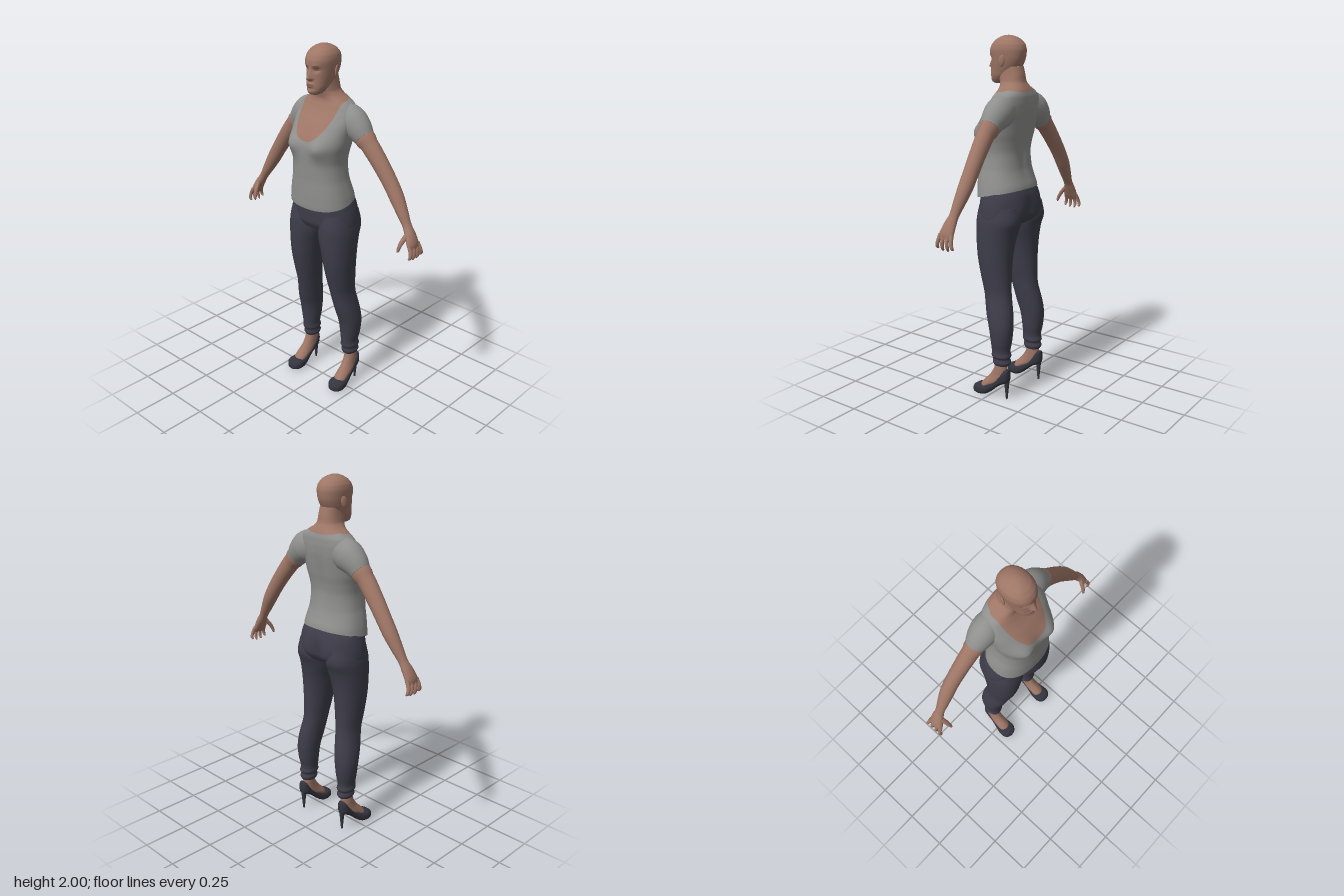
import * as THREE from 'three';

const mat = (name, color, side = THREE.FrontSide) => {
  const m = new THREE.MeshStandardMaterial({ color, side });
  m.name = name;
  return m;
};
const gauss = (a, s) => Math.exp(-(a * a) / (s * s));
const clamp01 = (t) => Math.min(1, Math.max(0, t));

// Smooth skin through superellipse sections [x, y, z, halfU, halfV].
// axis 'y': sections lie flat, 'z': sections stand upright, 'path': sections follow the path in xy.
function loft(sections, { axis = 'y', n = 2, segs = 40, steps = 5, shape = null } = {}) {
  const centres = new THREE.CatmullRomCurve3(sections.map((s) => new THREE.Vector3(s[0], s[1], s[2])));
  const radii = new THREE.CatmullRomCurve3(sections.map((s) => new THREE.Vector3(s[3], s[4], 0)));
  const rows = (sections.length - 1) * steps;
  const pos = [], index = [], p = new THREE.Vector3();
  const power = (c) => Math.sign(c) * Math.abs(c) ** (2 / n);
  for (let i = 0; i <= rows; i++) {
    const c = centres.getPoint(i / rows), r = radii.getPoint(i / rows);
    const u = new THREE.Vector3(1, 0, 0), v = new THREE.Vector3(0, axis === 'z' ? 1 : 0, axis === 'z' ? 0 : 1);
    if (axis === 'path') {
      const t = centres.getTangent(i / rows);
      u.set(-t.y, t.x, 0).normalize();
    }
    for (let j = 0; j < segs; j++) {
      const a = (j / segs) * Math.PI * 2;
      p.copy(c).addScaledVector(u, r.x * power(Math.cos(a))).addScaledVector(v, r.y * power(Math.sin(a)));
      if (shape) shape(p);
      pos.push(p.x, p.y, p.z);
      if (i < rows) {
        const k = i * segs + j, m = i * segs + ((j + 1) % segs);
        index.push(k, m, k + segs, m, m + segs, k + segs);
      }
    }
  }
  // end caps with their own vertices
  for (const row of [0, rows]) {
    const c = centres.getPoint(row / rows), start = pos.length / 3;
    for (let j = 0; j < segs; j++) pos.push(...pos.slice((row * segs + j) * 3, (row * segs + j) * 3 + 3));
    pos.push(c.x, c.y, c.z);
    for (let j = 0; j < segs; j++) {
      const a = start + j, b = start + ((j + 1) % segs);
      index.push(...(row ? [a, b, start + segs] : [b, a, start + segs]));
    }
  }
  // turn the faces outward
  let volume = 0;
  const A = new THREE.Vector3(), B = new THREE.Vector3(), C = new THREE.Vector3();
  for (let i = 0; i < index.length; i += 3) {
    A.fromArray(pos, index[i] * 3); B.fromArray(pos, index[i + 1] * 3); C.fromArray(pos, index[i + 2] * 3);
    volume += A.dot(B.cross(C));
  }
  if (volume < 0) index.reverse();
  const g = new THREE.BufferGeometry();
  g.setAttribute('position', new THREE.Float32BufferAttribute(pos, 3));
  g.setIndex(index);
  g.computeVertexNormals();
  return g;
}

// Flat sections given as [y, xMin, xMax, zFront, zBack], or [y, halfWidth, zFront, zBack]
const flat = (list) => list.map((s) => {
  const [y, x0, x1, f, b] = s.length === 5 ? s : [s[0], -s[1], s[1], s[2], s[3]];
  return [(x0 + x1) / 2, y, (f + b) / 2, (x1 - x0) / 2, (f - b) / 2];
});

// Keep the part of a surface where f(point) > 0
function clip(geo, f) {
  const P = geo.attributes.position, N = geo.attributes.normal, idx = geo.index.array, pos = [], nor = [];
  for (let i = 0; i < idx.length; i += 3) {
    const tri = [0, 1, 2].map((k) => {
      const p = new THREE.Vector3().fromBufferAttribute(P, idx[i + k]);
      return { p, n: new THREE.Vector3().fromBufferAttribute(N, idx[i + k]), d: f(p) };
    });
    const poly = [];
    tri.forEach((a, k) => {
      const b = tri[(k + 1) % 3];
      if (a.d > 0) poly.push(a);
      if (a.d > 0 !== b.d > 0) {
        const t = a.d / (a.d - b.d);
        poly.push({ p: a.p.clone().lerp(b.p, t), n: a.n.clone().lerp(b.n, t).normalize() });
      }
    });
    for (let k = 1; k + 1 < poly.length; k++) {
      for (const q of [poly[0], poly[k], poly[k + 1]]) { pos.push(...q.p.toArray()); nor.push(...q.n.toArray()); }
    }
  }
  const g = new THREE.BufferGeometry();
  g.setAttribute('position', new THREE.Float32BufferAttribute(pos, 3));
  g.setAttribute('normal', new THREE.Float32BufferAttribute(nor, 3));
  return g;
}

function mirrored(geo) {
  const g = geo.clone().scale(-1, 1, 1);
  g.setIndex(Array.from(g.index.array).reverse());
  g.computeVertexNormals();
  return g;
}

export function createModel() {
  const model = new THREE.Group();
  model.name = 'woman';
  const skin = mat('skin', 0x9e7666), features = mat('darker skin', 0x84604f);
  const cloth = mat('grey shirt', 0x8f8f8e, THREE.DoubleSide);
  const denim = mat('dark denim', 0x3e3d4a), leather = mat('shoe leather', 0x34343f);
  const add = (name, geo, material) => {
    const m = new THREE.Mesh(geo, material);
    m.name = name;
    model.add(m);
  };
  const pair = (name, geo, material) => {
    add('left' + name, geo, material);
    add('right' + name, mirrored(geo), material);
  };

  // Torso and neck, split into shirt and skin along the scoop neckline
  const torso = loft(flat([
    [1.10, 0.186, 0.13, -0.14], [1.14, 0.19, 0.138, -0.142], [1.20, 0.183, 0.14, -0.138],
    [1.25, 0.172, 0.14, -0.122], [1.30, 0.16, 0.14, -0.11], [1.38, 0.152, 0.143, -0.105],
    [1.44, 0.16, 0.145, -0.112], [1.49, 0.172, 0.141, -0.122], [1.54, 0.178, 0.122, -0.13],
    [1.60, 0.185, 0.088, -0.138], [1.65, 0.18, 0.052, -0.14], [1.69, 0.157, 0.03, -0.137],
    [1.715, 0.12, 0.022, -0.13], [1.735, 0.085, 0.025, -0.12], [1.76, 0.064, 0.034, -0.107],
    [1.80, 0.058, 0.042, -0.1], [1.84, 0.055, 0.045, -0.09],
  ]), {
    n: 2.35, segs: 96, steps: 5,
    shape: (p) => {
      if (p.z > 0) p.z += 0.03 * gauss(Math.abs(p.x) - 0.095, 0.055) * gauss(p.y - 1.485, 0.06) * clamp01(p.z / 0.06);
      else p.z += 0.01 * gauss(p.x, 0.03) * gauss(p.y - 1.45, 0.16) * clamp01(-p.z / 0.06);
    },
  });
  const neckline = (p) => {
    const t = clamp01((p.z + 0.08) / 0.06), depth = 0.02 + 0.2 * t * t * (3 - 2 * t);
    return (Math.abs(p.x) / 0.125) ** 2.2 + (Math.max(0, 1.73 - p.y) / depth) ** 2.2 - 1;
  };
  const hem = (p) => p.y - 1.16 + 0.21 * p.z;
  add('shirtBody', clip(torso, (p) => Math.min(neckline(p), hem(p))), cloth);
  add('chestAndNeck', clip(torso, (p) => -neckline(p)), skin);

  // Sleeves
  pair('Sleeve', loft([
    [0.10, 1.62, -0.06, 0.088, 0.068], [0.155, 1.605, -0.06, 0.087, 0.075],
    [0.20, 1.575, -0.06, 0.075, 0.068], [0.238, 1.538, -0.06, 0.058, 0.054],
  ], { axis: 'path' }), cloth);

  // Arms and palms
  pair('Arm', loft([
    [0.20, 1.57, -0.06, 0.05, 0.046], [0.27, 1.508, -0.06, 0.05, 0.046], [0.34, 1.425, -0.065, 0.046, 0.043],
    [0.41, 1.33, -0.07, 0.042, 0.04], [0.455, 1.262, -0.07, 0.039, 0.039], [0.50, 1.19, -0.065, 0.031, 0.032],
    [0.537, 1.13, -0.06, 0.023, 0.026], [0.562, 1.09, -0.055, 0.024, 0.035], [0.585, 1.045, -0.05, 0.021, 0.043],
    [0.594, 1.018, -0.05, 0.013, 0.04],
  ], { axis: 'path', segs: 32 }), skin);

  // Fingers and thumbs
  const fingers = [[-0.086, -0.1, 0.975], [-0.063, -0.07, 0.966], [-0.038, -0.038, 0.966], [-0.015, -0.006, 0.974]];
  fingers.forEach(([z0, z1, tip], i) => pair('Finger' + (i + 1), loft([
    [0.588, 1.045, z0, 0.011, 0.011], [0.604, 1.01, (z0 + z1) / 2, 0.0105, 0.01],
    [0.606, 0.985, z1, 0.009, 0.009], [0.598, tip, z1, 0.006, 0.006], [0.596, tip - 0.004, z1, 0.002, 0.002],
  ], { axis: 'path', segs: 12, steps: 3 }), skin));
  pair('Thumb', loft([
    [0.56, 1.095, -0.035, 0.014, 0.015], [0.55, 1.06, -0.008, 0.013, 0.013],
    [0.543, 1.03, 0.008, 0.01, 0.01], [0.539, 1.008, 0.013, 0.007, 0.007], [0.538, 1.002, 0.014, 0.002, 0.002],
  ], { axis: 'path', segs: 12, steps: 3 }), skin);

  // Head with modelled nose, eye sockets, brow and lips
  const head = loft(flat([
    [1.748, 0.022, 0.08, 0.035], [1.755, 0.034, 0.091, 0.015], [1.77, 0.045, 0.097, -0.01],
    [1.79, 0.055, 0.096, -0.035], [1.82, 0.063, 0.095, -0.07], [1.85, 0.07, 0.093, -0.09],
    [1.88, 0.075, 0.094, -0.102], [1.92, 0.079, 0.098, -0.107], [1.95, 0.075, 0.087, -0.1],
    [1.975, 0.06, 0.064, -0.079], [1.99, 0.039, 0.038, -0.053], [1.998, 0.018, 0.015, -0.028],
    [2.0, 0.004, -0.003, -0.011],
  ]), {
    n: 2.2, segs: 112, steps: 7,
    shape: (p) => {
      if (p.z < 0.03) return;
      const ax = Math.abs(p.x), y = p.y;
      const slope = clamp01((1.895 - y) / 0.058) * clamp01((y - 1.82) / 0.014);
      p.z += 0.029 * slope * gauss(p.x, 0.009 + 0.007 * slope);
      p.z -= 0.011 * gauss(ax - 0.032, 0.016) * gauss(y - 1.879, 0.011);
      p.z += 0.004 * gauss(ax - 0.03, 0.025) * gauss(y - 1.9, 0.01);
      p.z += 0.008 * gauss(p.x, 0.022) * (gauss(y - 1.805, 0.006) + gauss(y - 1.793, 0.006));
      p.z += 0.005 * gauss(p.x, 0.02) * gauss(y - 1.765, 0.012);
    },
  });
  const oval = (x, y, a, b) => 1 - (x / a) ** 2 - (y / b) ** 2;
  const marks = (p) => (p.z < 0.03 ? -1 : Math.max(
    oval(p.x, p.y - 1.799, 0.024, 0.009),
    oval(Math.abs(p.x) - 0.032, p.y - 1.879, 0.014, 0.0045),
    oval(Math.abs(p.x) - 0.034, p.y - 1.9 + 0.1 * Math.abs(Math.abs(p.x) - 0.034), 0.02, 0.004)));
  add('head', clip(head, (p) => -marks(p)), skin);
  add('faceDetails', clip(head, marks), features);

  // Ears
  pair('Ear', new THREE.SphereGeometry(1, 20, 14).scale(0.007, 0.031, 0.017)
    .rotateY(0.35).rotateX(-0.15).translate(0.08, 1.868, -0.018), skin);

  // Trousers: seat and two legs
  add('trouserSeat', loft(flat([
    [1.20, 0.176, 0.118, -0.128], [1.15, 0.192, 0.114, -0.146], [1.09, 0.204, 0.111, -0.15],
    [1.04, 0.208, 0.108, -0.146], [1.005, 0.19, 0.09, -0.125], [0.98, 0.11, 0.05, -0.08],
  ]), {
    n: 2.3, segs: 72,
    shape: (p) => {
      if (p.z < 0) p.z -= clamp01(-p.z / 0.08) * gauss(p.y - 1.06, 0.07)
        * (0.014 * gauss(Math.abs(p.x) - 0.09, 0.06) - 0.012 * gauss(p.x, 0.02));
    },
  }), denim);
  pair('TrouserLeg', loft(flat([
    [1.10, 0.015, 0.195, 0.095, -0.14], [1.02, 0.005, 0.21, 0.109, -0.152], [0.96, 0.008, 0.211, 0.109, -0.132],
    [0.88, 0.028, 0.208, 0.104, -0.115], [0.80, 0.042, 0.204, 0.095, -0.107], [0.70, 0.056, 0.196, 0.075, -0.105],
    [0.60, 0.07, 0.191, 0.05, -0.11], [0.50, 0.082, 0.207, 0.028, -0.13], [0.42, 0.092, 0.215, 0.004, -0.137],
    [0.34, 0.1, 0.209, -0.008, -0.13], [0.28, 0.108, 0.198, -0.012, -0.12], [0.255, 0.105, 0.202, -0.012, -0.126],
    [0.238, 0.112, 0.194, -0.02, -0.119], [0.218, 0.108, 0.198, -0.018, -0.126], [0.2, 0.114, 0.191, -0.026, -0.118],
  ]), { n: 2.15 }), denim);

  // Ankles and insteps
  pair('Foot', loft(flat([
    [0.24, 0.127, 0.186, -0.038, -0.106], [0.18, 0.128, 0.19, -0.028, -0.108], [0.135, 0.128, 0.192, -0.003, -0.11],
    [0.10, 0.127, 0.197, 0.028, -0.085], [0.07, 0.126, 0.2, 0.055, -0.03], [0.045, 0.13, 0.2, 0.065, 0.01],
  ])), skin);

  // High-heeled shoes, each section standing across the foot: [z, bottom, top, halfWidth]
  pair('Shoe', loft([
    [-0.128, 0.125, 0.155, 0.008], [-0.122, 0.105, 0.178, 0.022], [-0.105, 0.094, 0.178, 0.032],
    [-0.075, 0.08, 0.138, 0.034], [-0.04, 0.053, 0.1, 0.035], [0, 0.018, 0.078, 0.042], [0.03, 0.002, 0.064, 0.048],
    [0.06, 0, 0.063, 0.05], [0.085, 0.002, 0.056, 0.043], [0.1, 0.006, 0.046, 0.028], [0.106, 0.016, 0.036, 0.01],
  ].map(([z, b, t, w]) => [0.162 + 0.03 * clamp01(z + 0.1) , (b + t) / 2, z, w, (t - b) / 2]),
  { axis: 'z', n: 2.8 }), leather);
  pair('Heel', new THREE.CylinderGeometry(0.017, 0.005, 0.125, 16).translate(0.16, 0.0625, -0.11), leather);

  return model;
}
